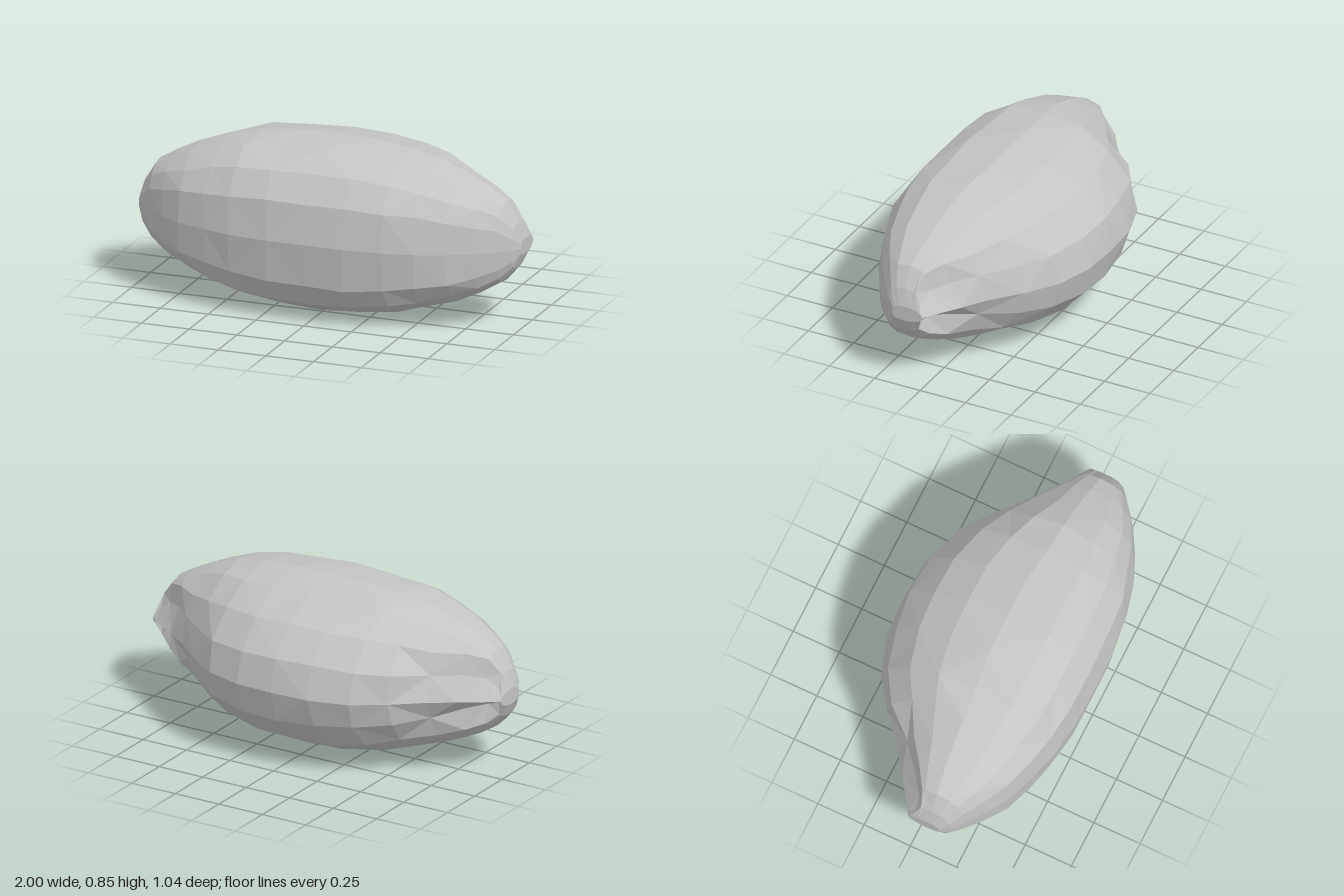
import * as THREE from 'three';

// Cross-sections for one half: x, bottom, top, back z, front z, z of the crown
const SECTIONS = [
  [0, 0, 0.85, -0.525, 0.52, 0.04],
  [0.2, 0.01, 0.845, -0.513, 0.515, 0.04],
  [0.4, 0.04, 0.828, -0.452, 0.49, 0.06],
  [0.55, 0.08, 0.795, -0.342, 0.45, 0.07],
  [0.7, 0.125, 0.742, -0.212, 0.395, 0.08],
  [0.82, 0.175, 0.685, -0.135, 0.32, 0.09],
  [0.91, 0.23, 0.632, -0.07, 0.25, 0.1],
  [0.97, 0.3, 0.535, -0.03, 0.2, 0.1],
  [1, 0.37, 0.45, -0.01, 0.155, 0.08],
];
// Groove depth per section, and the shift of the ridges beside the grooves
const GROOVE = [0, 0, 0, 0, 0.03, 0.07, 0.075, 0.045, 0];
const RIDGE = [0, 0, 0, 0, 0, 0.03, 0.04, 0.035, 0];
const SIDES = 16;

function makeRandom(seed) {
  return () => {
    seed = (seed * 16807) % 2147483647;
    return seed / 2147483647;
  };
}

// Rounded section: squarer at the front, grooved at the back near the tips
function ringPoint(k, j, side, random) {
  const [x, bottom, top, back, front, crown] = SECTIONS[k];
  const t = (j / SIDES) * Math.PI * 2;
  const c = Math.cos(t), s = Math.sin(t);
  const power = c < 0 ? 1.03 : s < 0 ? 0.65 : 0.8;
  const mid = 0.42 - 0.01 * x;
  const cz = Math.sign(c) * Math.pow(Math.abs(c), power);
  const sy = Math.sign(s) * Math.pow(Math.abs(s), power);
  let z = crown + cz * (c > 0 ? front - crown : crown - back);
  let y = mid + sy * (s > 0 ? top - mid : mid - bottom);
  if (j === 7 || j === 9) {
    z += GROOVE[k] * (j === 9 ? 1 : 0.8);
    y += GROOVE[k] * (j === 9 ? 0.4 : 0.25);
  }
  if (j === 6 || j === 10) {
    z += RIDGE[k] * (j === 6 ? 1 : 0.4);
    y += RIDGE[k] * (j === 6 ? 1 : -0.2);
  }
  // Slight unevenness away from the outline points
  const wobble = j % 4 === 0 || x > 0.8 ? 0 : 0.014;
  const dx = x > 0.1 && x < 0.8 ? 0.025 : 0;
  return [
    side * x + (random() - 0.5) * dx,
    y + (random() - 0.5) * wobble,
    z + (random() - 0.5) * wobble,
  ];
}

function createStoneGeometry() {
  const random = makeRandom(4711);
  const positions = [];
  const last = SECTIONS.length * 2 - 2;
  const middle = SECTIONS.length - 1;
  for (let i = 0; i <= last; i++) {
    for (let j = 0; j < SIDES; j++) {
      positions.push(...ringPoint(Math.abs(i - middle), j, Math.sign(i - middle), random));
    }
  }
  const index = [];
  const at = (i, j) => i * SIDES + (j % SIDES);
  for (let i = 0; i < last; i++) {
    for (let j = 0; j < SIDES; j++) {
      const a = at(i, j), b = at(i + 1, j), c = at(i + 1, j + 1), d = at(i, j + 1);
      if ((i + j) % 2) index.push(a, b, c, a, c, d);
      else index.push(a, b, d, b, c, d);
    }
  }
  // Small blunt caps on both tips
  const center = positions.length / 3;
  positions.push(-1, 0.41, 0.07, 1, 0.41, 0.07);
  for (let j = 0; j < SIDES; j++) {
    index.push(center, at(0, j), at(0, j + 1));
    index.push(center + 1, at(last, j + 1), at(last, j));
  }
  const geometry = new THREE.BufferGeometry();
  geometry.setAttribute('position', new THREE.Float32BufferAttribute(positions, 3));
  geometry.setIndex(index);
  const faceted = geometry.toNonIndexed();
  faceted.computeVertexNormals();
  return faceted;
}

export function createModel() {
  const group = new THREE.Group();
  group.name = 'rock';
  const material = new THREE.MeshStandardMaterial({ color: 0xc4c4c4, flatShading: true });
  material.name = 'stone grey';
  const stone = new THREE.Mesh(createStoneGeometry(), material);
  stone.name = 'stone';
  group.add(stone);
  return group;
}
